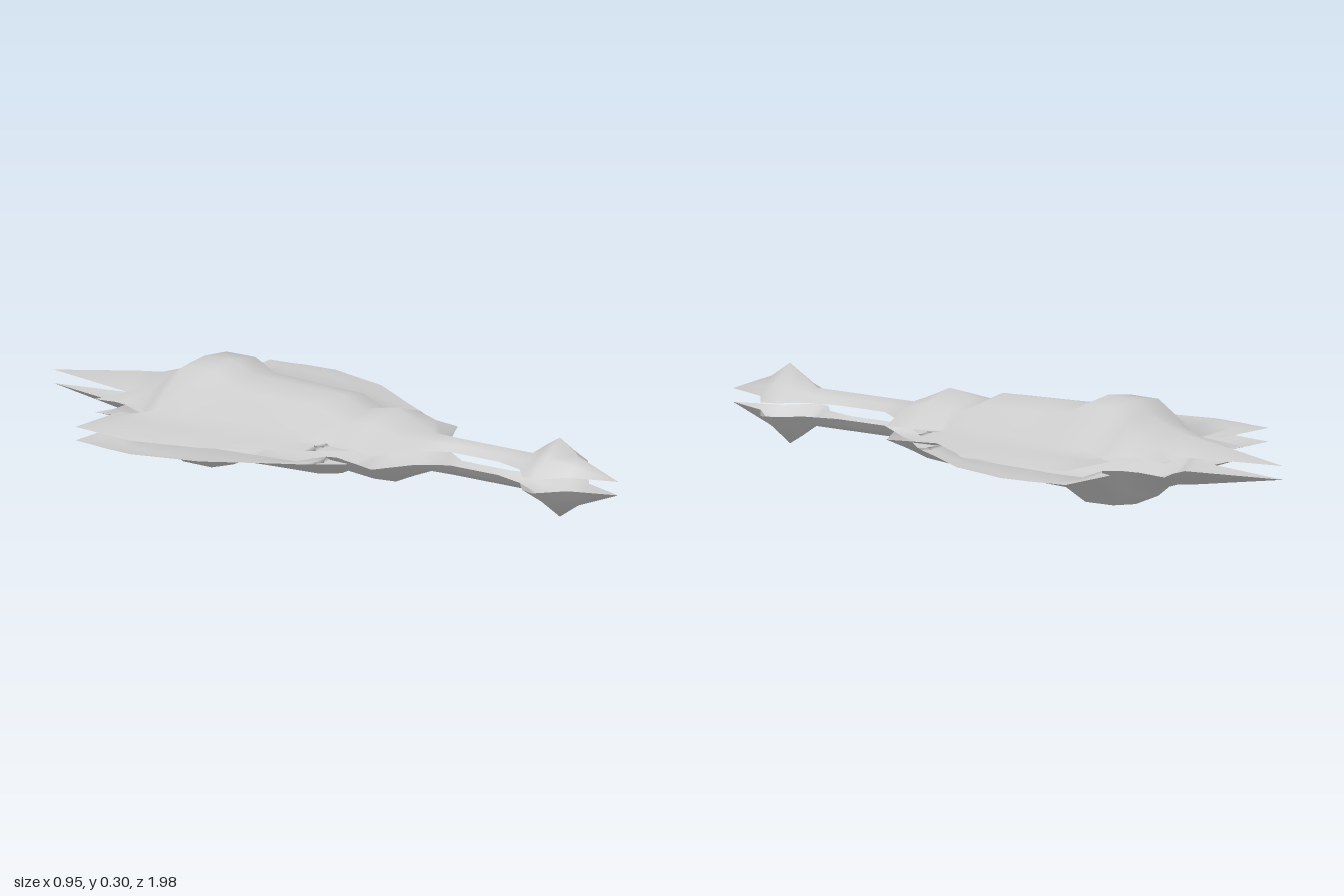
import * as THREE from 'three';
import { mergeVertices } from 'three/addons/utils/BufferGeometryUtils.js';

const MID = 0.1515, GAP = 0.0195;

// Each station: z, then pairs of (x, height above the shell's rim) from inside to outside.
// Head, neck and shoulders
const front = [
  [0.99, 0, 0, 0, 0, 0, 0],
  [0.85, 0, 0.052, 0.025, 0.026, 0.05, 0],
  [0.785, 0, 0.095, 0.065, 0.045, 0.13, 0],
  [0.74, 0, 0.068, 0.055, 0.032, 0.115, 0],
  [0.69, 0, 0.035, 0.03, 0.018, 0.06, 0],
  [0.59, 0, 0.035, 0.015, 0.018, 0.03, 0],
  [0.42, 0, 0.035, 0.015, 0.018, 0.03, 0],
  [0.34, 0, 0.035, 0.042, 0.023, 0.085, 0],
  [0.275, 0, 0.06, 0.1, 0.04, 0.2, 0],
  [0.21, 0, 0.088, 0.1, 0.058, 0.18, 0],
  [0.12, 0, 0.07, 0.1, 0.05, 0.155, 0],
  [0.09, 0, 0.062, 0.1, 0.048, 0.165, 0],
];
// Body with wings
const body = [
  [0.09, 0, 0.062, 0.1, 0.048, 0.165, 0, 0.22, 0.005, 0.27, 0],
  [0.02, 0, 0.095, 0.1, 0.075, 0.18, 0.025, 0.25, 0.01, 0.31, 0],
  [-0.16, 0, 0.098, 0.1, 0.08, 0.2, 0.025, 0.32, 0.015, 0.42, 0],
  [-0.29, 0, 0.1, 0.1, 0.085, 0.23, 0.02, 0.36, 0.02, 0.455, 0],
  [-0.36, 0, 0.132, 0.1, 0.119, 0.24, 0.02, 0.36, 0.022, 0.475, 0],
  [-0.46, 0, 0.128, 0.1, 0.118, 0.235, 0.02, 0.36, 0.02, 0.467, 0],
  [-0.51, 0, 0.098, 0.1, 0.08, 0.21, 0, 0.33, 0.015, 0.457, 0],
];
// Wing ends, separated from the hull by notches
const wingFront = [
  [0.09, 0.165, 0, 0.22, 0.005, 0.27, 0],
  [0.12, 0.185, 0, 0.215, 0.003, 0.25, 0],
  [0.19, 0.19, 0, 0.19, 0, 0.19, 0],
];
const wingRear = [
  [-0.51, 0.21, 0, 0.33, 0.015, 0.457, 0],
  [-0.53, 0.235, 0, 0.34, 0.012, 0.455, 0],
  [-0.572, 0.25, 0, 0.35, 0, 0.45, 0],
];
// Stern, tail spike and stern fins
const stern = [
  [-0.51, 0, 0.098, 0.1, 0.08, 0.21, 0],
  [-0.55, 0, 0.075, 0.1, 0.048, 0.175, 0],
  [-0.61, 0, 0.056, 0.09, 0.03, 0.165, 0],
  [-0.69, 0, 0.046, 0.065, 0, 0.178, 0],
];
const spike = [[-0.69, 0, 0.046, 0.065, 0], [-0.99, 0, 0, 0, 0]];
const fin = [[-0.69, 0.12, 0, 0.178, 0], [-0.71, 0.18, 0, 0.18, 0]];

// Loft all sections, mirrored left and right, into one smooth open shell
function shell(up) {
  const pos = [];
  for (const rows of [front, body, wingFront, wingRear, stern, spike, fin]) {
    for (const side of [1, -1]) {
      const point = (i, j) => new THREE.Vector3(
        side * rows[i][1 + 2 * j], MID + up * (GAP + rows[i][2 + 2 * j]), rows[i][0]);
      const tri = (a, b, c) => {
        if (new THREE.Triangle(a, b, c).getArea() < 1e-7) return;
        for (const p of side * up > 0 ? [a, b, c] : [a, c, b]) pos.push(p.x, p.y, p.z);
      };
      for (let i = 0; i < rows.length - 1; i++) {
        for (let j = 0; j < (rows[i].length - 1) / 2 - 1; j++) {
          const a = point(i, j), b = point(i, j + 1), c = point(i + 1, j + 1), d = point(i + 1, j);
          tri(a, b, c);
          tri(a, c, d);
        }
      }
    }
  }
  let geo = new THREE.BufferGeometry();
  geo.setAttribute('position', new THREE.Float32BufferAttribute(pos, 3));
  geo = mergeVertices(geo, 1e-4);
  geo.computeVertexNormals();
  return geo;
}

export function createModel() {
  const group = new THREE.Group();
  group.name = 'wingedShip';
  const hullGrey = new THREE.MeshStandardMaterial({ color: 0xcccccc, side: THREE.DoubleSide });
  hullGrey.name = 'hullGrey';
  for (const [name, up] of [['upperHull', 1], ['lowerHull', -1]]) {
    const mesh = new THREE.Mesh(shell(up), hullGrey);
    mesh.name = name;
    group.add(mesh);
  }
  return group;
}
